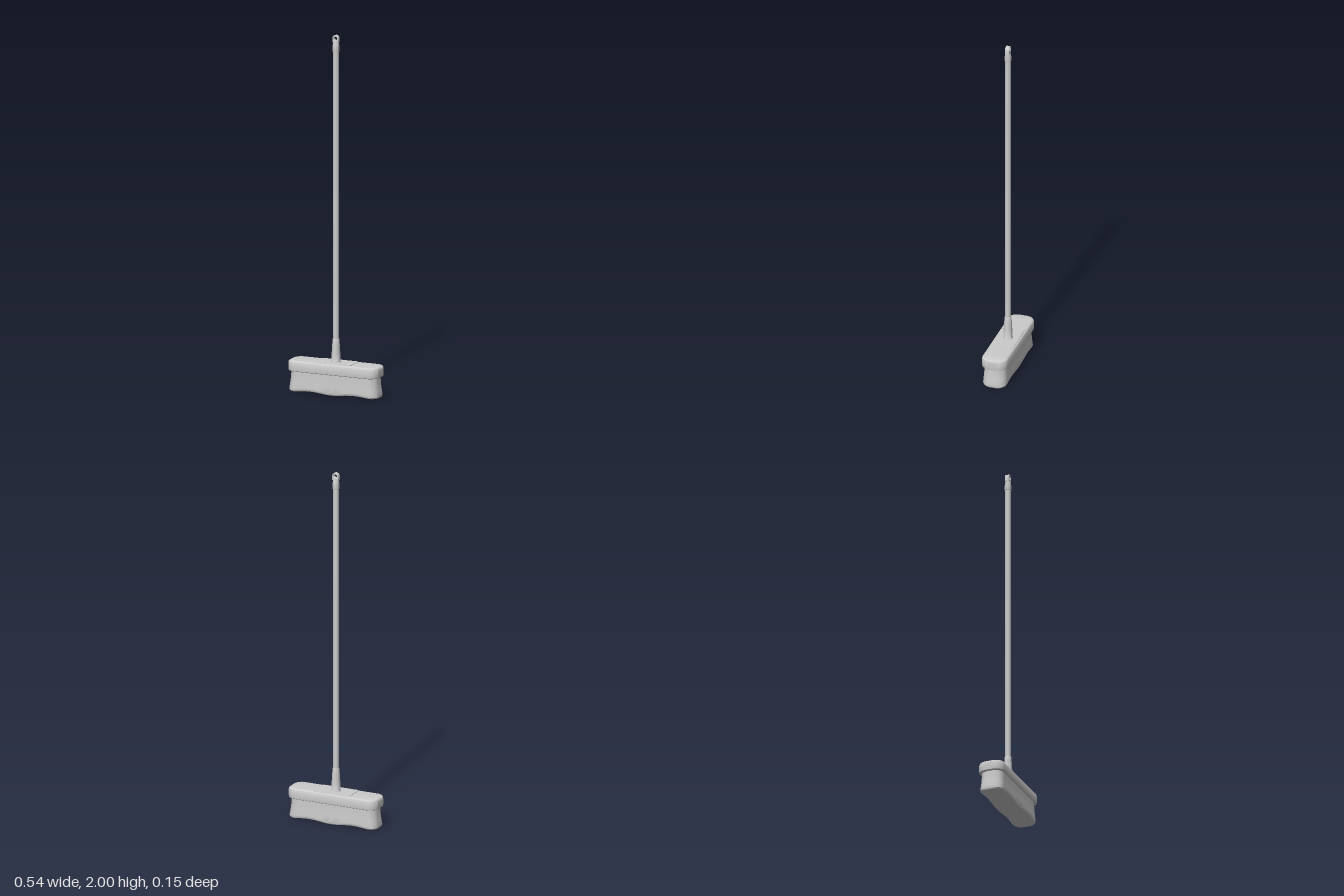
import * as THREE from 'three';
import { toCreasedNormals } from 'three/addons/utils/BufferGeometryUtils.js';

const grey = new THREE.MeshStandardMaterial({ color: 0xcccccc });

// Rounded-rectangle outline with evenly divided edges, running from +x towards +z
function outline(hx, hz, radius, edge = 24, arc = 8) {
  const r = Math.min(radius, hx, hz), pts = [];
  const corners = [[1, 1], [-1, 1], [-1, -1], [1, -1]];
  corners.forEach(([sx, sz], q) => {
    const cx = sx * (hx - r), cz = sz * (hz - r);
    for (let i = 0; i <= arc; i++) {
      const a = (q + i / arc) * Math.PI / 2;
      pts.push([cx + r * Math.cos(a), cz + r * Math.sin(a)]);
    }
    // Intermediate points towards the next corner
    const [nx, nz] = corners[(q + 1) % 4];
    const from = pts[pts.length - 1];
    const a = (q + 1) * Math.PI / 2;
    const to = [nx * (hx - r) + r * Math.cos(a), nz * (hz - r) + r * Math.sin(a)];
    for (let i = 1; i < edge; i++) {
      const t = i / edge;
      pts.push([from[0] + (to[0] - from[0]) * t, from[1] + (to[1] - from[1]) * t]);
    }
  });
  return pts;
}

// Skin rings [hx, hz, radius, y] from bottom to top; lift(x, y) may bend the heights
function loft(rings, lift = (x, y) => y, crease = 0.6) {
  const pos = [], index = [];
  let n = 0;
  rings.forEach(([hx, hz, r, y]) => {
    const pts = outline(hx, hz, r);
    n = pts.length;
    pts.forEach(([x, z]) => pos.push(x, lift(x, y), z));
  });
  for (let i = 0; i < rings.length - 1; i++) {
    for (let j = 0; j < n; j++) {
      const k = (j + 1) % n, a = i * n + j, b = i * n + k, c = a + n, d = b + n;
      index.push(a, c, b, b, c, d);
    }
  }
  const g = new THREE.BufferGeometry();
  g.setAttribute('position', new THREE.Float32BufferAttribute(pos, 3));
  g.setIndex(index);
  return toCreasedNormals(g, crease);
}

function lathe(profile, segments = 32) {
  const pts = profile.map(([r, y]) => new THREE.Vector2(r, y));
  return toCreasedNormals(new THREE.LatheGeometry(pts, segments), 0.6);
}

export function createModel() {
  const model = new THREE.Group();
  const add = (name, geometry, parent = model) => {
    const mesh = new THREE.Mesh(geometry, grey);
    mesh.name = name;
    parent.add(mesh);
    return mesh;
  };

  // Bristle mass: slightly waisted, flaring at the ends, with a wavy lower edge
  const wave = (x, y) => {
    const w = 0.005 * (1 - Math.cos((2 * Math.PI * x) / 0.27));
    return y + w * Math.max(0, 1 - y / 0.1);
  };
  add('bristles', loft([
    [0.22, 0, 0.05, 0],
    [0.255, 0.055, 0.042, 0],
    [0.263, 0.063, 0.048, 0.003],
    [0.267, 0.067, 0.05, 0.01],
    [0.267, 0.067, 0.05, 0.018],
    [0.262, 0.065, 0.05, 0.05],
    [0.258, 0.063, 0.05, 0.085],
    [0.257, 0.063, 0.05, 0.122],
    [0.21, 0, 0.05, 0.122],
  ], wave));

  // Head block with softened edges
  const block = [[0.21, 0, 0.05, 0.116], [0.265, 0.068, 0.047, 0.116], [0.269, 0.072, 0.05, 0.119],
    [0.27, 0.073, 0.05, 0.124]];
  for (let i = 0; i <= 6; i++) {
    const a = (i / 6) * Math.PI / 2, inset = 0.014 * (1 - Math.cos(a));
    block.push([0.27 - inset, 0.073 - inset, 0.05 - inset, 0.161 + 0.014 * Math.sin(a)]);
  }
  block.push([0.2, 0, 0.05, 0.175]);
  add('headBlock', loft(block));

  // Mounting plate and its screws
  add('mountingPlate', loft([
    [0.109, 0.061, 0.014, 0.172],
    [0.109, 0.061, 0.014, 0.177],
    [0.108, 0.06, 0.013, 0.178],
    [0.05, 0, 0.01, 0.178],
  ]));
  for (const side of [-1, 1]) {
    const screw = add(side > 0 ? 'screwLeft' : 'screwRight',
      lathe([[0.008, 0.176], [0.0078, 0.1785], [0.005, 0.18], [0, 0.1805]], 20));
    screw.position.x = side * 0.08;
  }

  // Tapered socket that holds the pole
  add('socket', lathe([
    [0.028, 0.176], [0.028, 0.18], [0.026, 0.183], [0.025, 0.19], [0.0235, 0.23],
    [0.0205, 0.28], [0.0185, 0.305], [0.0175, 0.308], [0.015, 0.308],
  ]));
  add('pole', new THREE.CylinderGeometry(0.0155, 0.0155, 1.62, 32).translate(0, 1.11, 0));

  // Hanging cap: a round sleeve flattening into a pierced tab
  const cap = new THREE.Group();
  cap.name = 'hangingCap';
  model.add(cap);
  const sleeve = new THREE.LatheGeometry([
    [0.0155, 1.905], [0.0175, 1.906], [0.018, 1.909], [0.018, 1.935], [0.018, 1.945],
    [0.018, 1.955], [0.018, 1.963], [0.0175, 1.968], [0, 1.968],
  ].map(([r, y]) => new THREE.Vector2(r, y)), 32);
  const p = sleeve.attributes.position;
  for (let i = 0; i < p.count; i++) {
    const flat = THREE.MathUtils.smoothstep(p.getY(i), 1.935, 1.968);
    p.setZ(i, p.getZ(i) * (1 - 0.33 * flat));
  }
  add('sleeve', toCreasedNormals(sleeve, 0.6), cap);

  const bevel = 0.003, r = 0.018 - bevel, cy = 1.982;
  const tab = new THREE.Shape();
  tab.moveTo(-r, 1.962);
  tab.lineTo(r, 1.962);
  tab.lineTo(r, cy);
  tab.absarc(0, cy, r, 0, Math.PI, false);
  tab.closePath();
  const hole = new THREE.Path();
  hole.absarc(0, cy, 0.0135, 0, Math.PI * 2, true);
  tab.holes.push(hole);
  const tabGeometry = new THREE.ExtrudeGeometry(tab, {
    depth: 0.018, bevelEnabled: true, bevelSize: bevel, bevelThickness: bevel,
    bevelSegments: 3, curveSegments: 20,
  }).translate(0, 0, -0.009);
  add('hangingTab', toCreasedNormals(tabGeometry, 0.6), cap);

  return model;
}
